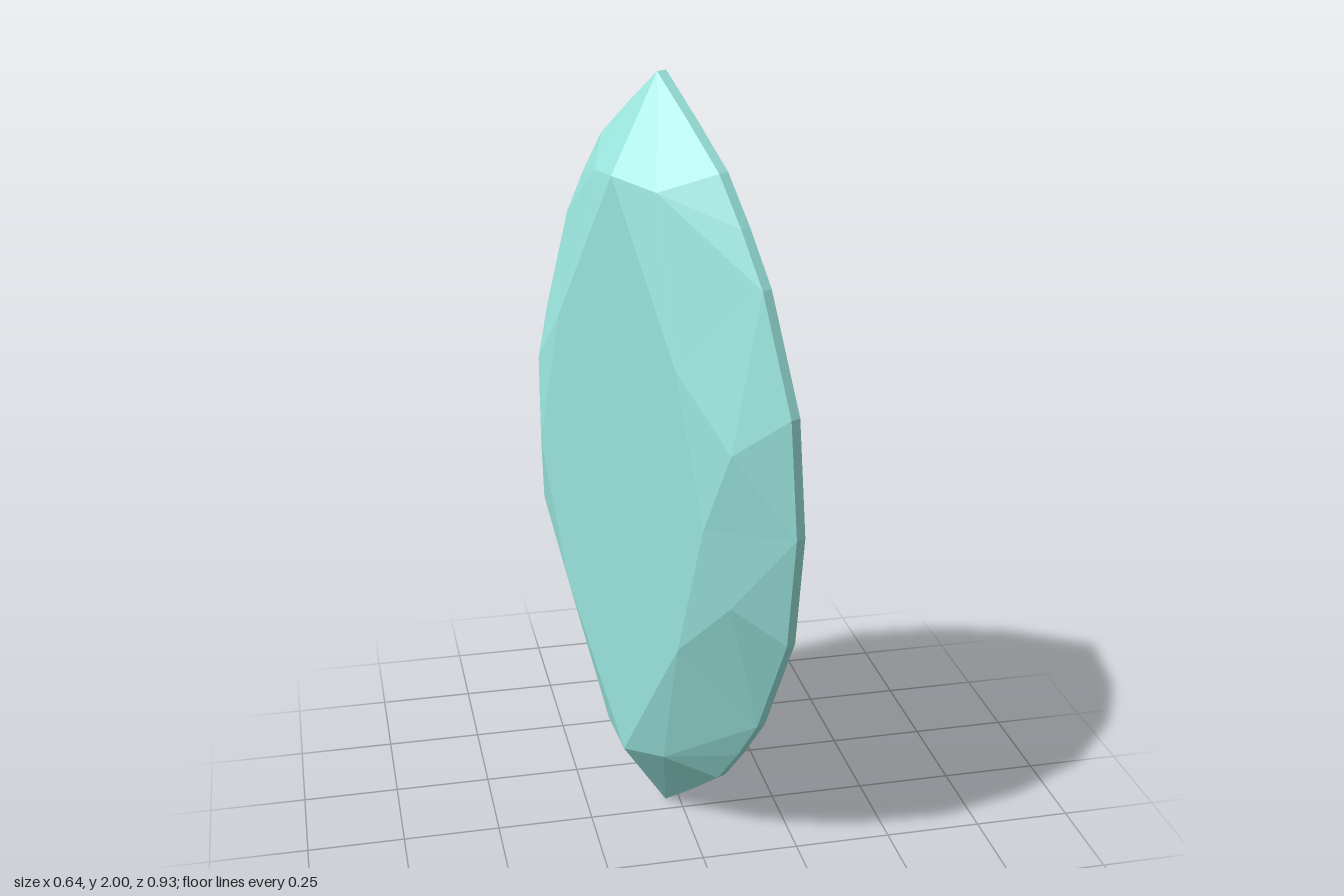
import * as THREE from 'three';

const CROWN_EDGE = -0.052, PAVILION_EDGE = -0.026;

// Mirror one quarter of an outline (length, width) into a closed loop at height h.
// Points lying on an axis are kept once.
function loop(quarter, h, scale = 1) {
  const quarters = [[1, 1, false], [-1, 1, true], [-1, -1, false], [1, -1, true]];
  const points = [];
  for (const [sx, sy, reversed] of quarters) {
    const list = reversed ? [...quarter].reverse() : quarter;
    for (const [l, w] of list) {
      const p = new THREE.Vector3(l * sx * scale, w * sy * scale, h);
      if (!points.some((q) => q.distanceTo(p) < 1e-6)) points.push(p);
    }
  }
  return points;
}

// Flat facets from a list of triangle corners
function facets(points) {
  const geometry = new THREE.BufferGeometry().setFromPoints(points);
  geometry.computeVertexNormals();
  return geometry;
}

const OUTLINE = [[1, 0], [0.91, 0.11], [0.81, 0.225], [0.7, 0.303], [0.575, 0.38], [0.295, 0.485], [0, 0.512]];

// Smooth pointed back: girdle loop, small shoulder loop and apex
function pavilionGeometry() {
  const outer = loop(OUTLINE, PAVILION_EDGE);
  const inner = loop(OUTLINE, 0.293, 0.255);
  const n = outer.length;
  const index = [];
  for (let i = 0; i < n; i++) {
    const j = (i + 1) % n;
    index.push(i, j, n + j, i, n + j, n + i, n + i, n + j, 2 * n);
  }
  const geometry = new THREE.BufferGeometry().setFromPoints([...outer, ...inner, new THREE.Vector3(0, 0, 0.365)]);
  geometry.setIndex(index);
  geometry.computeVertexNormals();
  return geometry;
}

// Narrow band around the widest outline
function girdleGeometry() {
  const a = loop(OUTLINE, CROWN_EDGE), b = loop(OUTLINE, PAVILION_EDGE);
  const tris = [];
  a.forEach((p, i) => {
    const j = (i + 1) % a.length;
    tris.push(p, a[j], b[j], p, b[j], b[i]);
  });
  return facets(tris);
}

const TABLE = loop([[0.78, 0], [0.37, 0.235], [0, 0.335]], -0.188);

// Star, kite and girdle facets between the table and the girdle
function crownGeometry() {
  const girdle = loop(OUTLINE, CROWN_EDGE);
  const mids = loop([[0.76, 0.12], [0.2, 0.39]], -0.149);
  const anchors = [0, 4, 6, 8, 12, 16, 18, 20, 24];   // girdle point below each table corner
  const tris = [];
  for (let k = 0; k < 8; k++) {
    const next = (k + 1) % 8, mid = mids[k], before = mids[(k + 7) % 8];
    tris.push(TABLE[k], TABLE[next], mid);
    tris.push(TABLE[k], mid, girdle[anchors[k]], TABLE[k], girdle[anchors[k]], before);
    for (let g = anchors[k]; g < anchors[k + 1]; g++) {
      tris.push(mid, girdle[(g + 1) % girdle.length], girdle[g]);
    }
  }
  return facets(tris);
}

// Flat face on the crown
function tableGeometry() {
  const tris = [];
  for (let k = 1; k < 7; k++) tris.push(TABLE[0], TABLE[k + 1], TABLE[k]);
  return facets(tris);
}

export function createModel() {
  const group = new THREE.Group();
  group.name = 'cutGemstone';
  const color = 0x9ce8e0;
  const smooth = new THREE.MeshStandardMaterial({ color });
  const flat = new THREE.MeshStandardMaterial({ color, flatShading: true });

  const stone = new THREE.Group();
  stone.name = 'stone';
  const add = (name, geometry, material) => {
    const mesh = new THREE.Mesh(geometry, material);
    mesh.name = name;
    stone.add(mesh);
  };
  add('pavilion', pavilionGeometry(), smooth);
  add('girdle', girdleGeometry(), flat);
  add('crown', crownGeometry(), flat);
  add('table', tableGeometry(), flat);

  // Stand the stone on its tip, slightly leaning and turned
  const long = new THREE.Vector3(-0.018, 1, 0.055).normalize();
  const depth = new THREE.Vector3().crossVectors(long, new THREE.Vector3(0.44, -0.044, 0.9)).normalize();
  const wide = new THREE.Vector3().crossVectors(depth, long);
  stone.quaternion.setFromRotationMatrix(new THREE.Matrix4().makeBasis(long, wide, depth));
  stone.position.set(-0.009, 1, -0.017);
  group.add(stone);
  return group;
}
